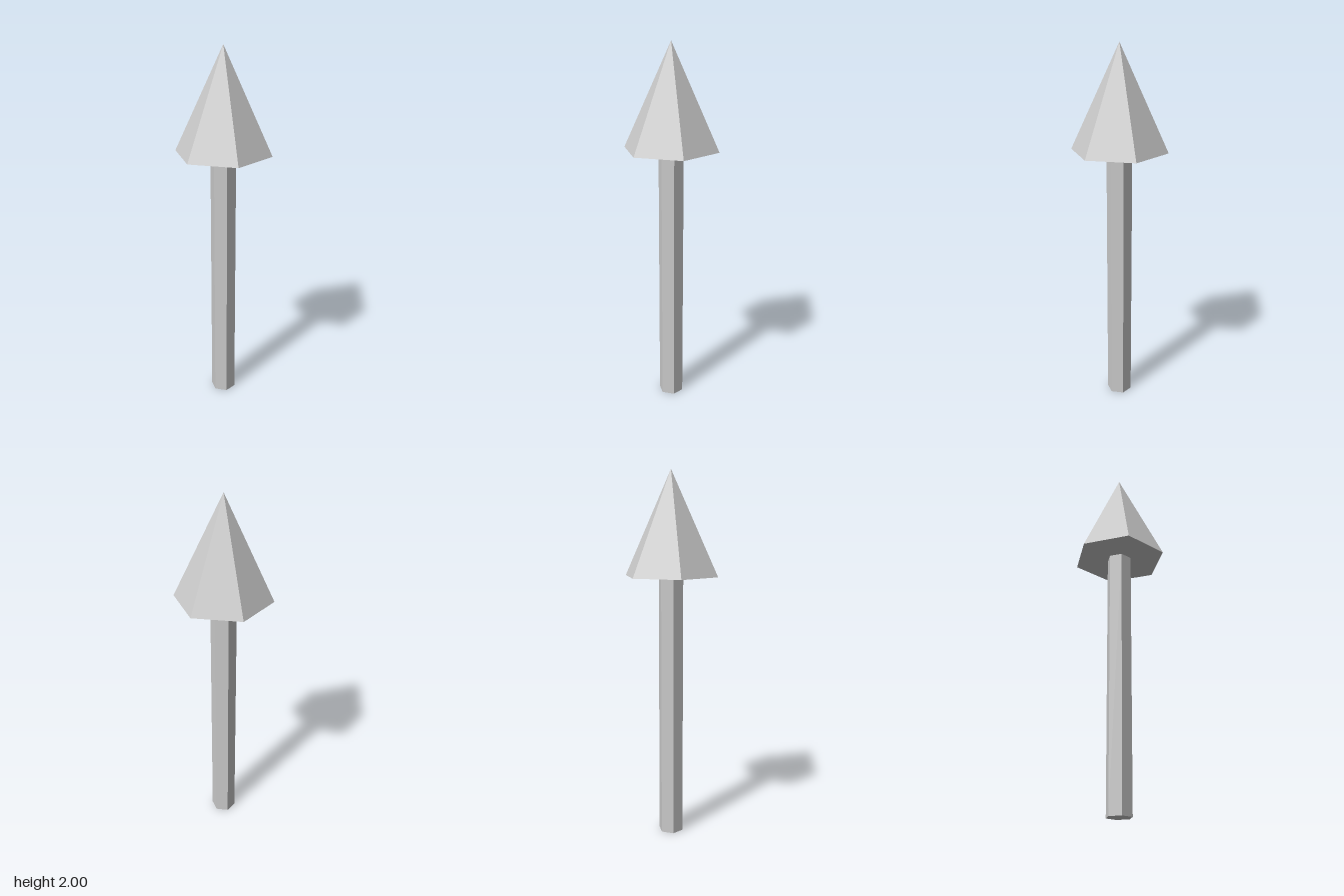
import * as THREE from 'three';

const SIDES = 6;
const HEIGHT = 2;
const HEAD_BASE = 1.447; // height where the shaft meets the head

export function createModel() {
  const group = new THREE.Group();
  group.name = 'arrow';
  const material = new THREE.MeshStandardMaterial({ color: 0xcccccc, flatShading: true });

  const addPart = (name, geometry, y) => {
    const mesh = new THREE.Mesh(geometry, material);
    mesh.name = name;
    mesh.position.y = y;
    group.add(mesh);
  };

  // Hexagonal shaft standing on the ground
  addPart('shaft', new THREE.CylinderGeometry(0.069, 0.069, HEAD_BASE, SIDES), HEAD_BASE / 2);

  // Six-sided pointed head with a closed base
  addPart('head', new THREE.ConeGeometry(0.26, HEIGHT - HEAD_BASE, SIDES), (HEIGHT + HEAD_BASE) / 2);

  return group;
}
